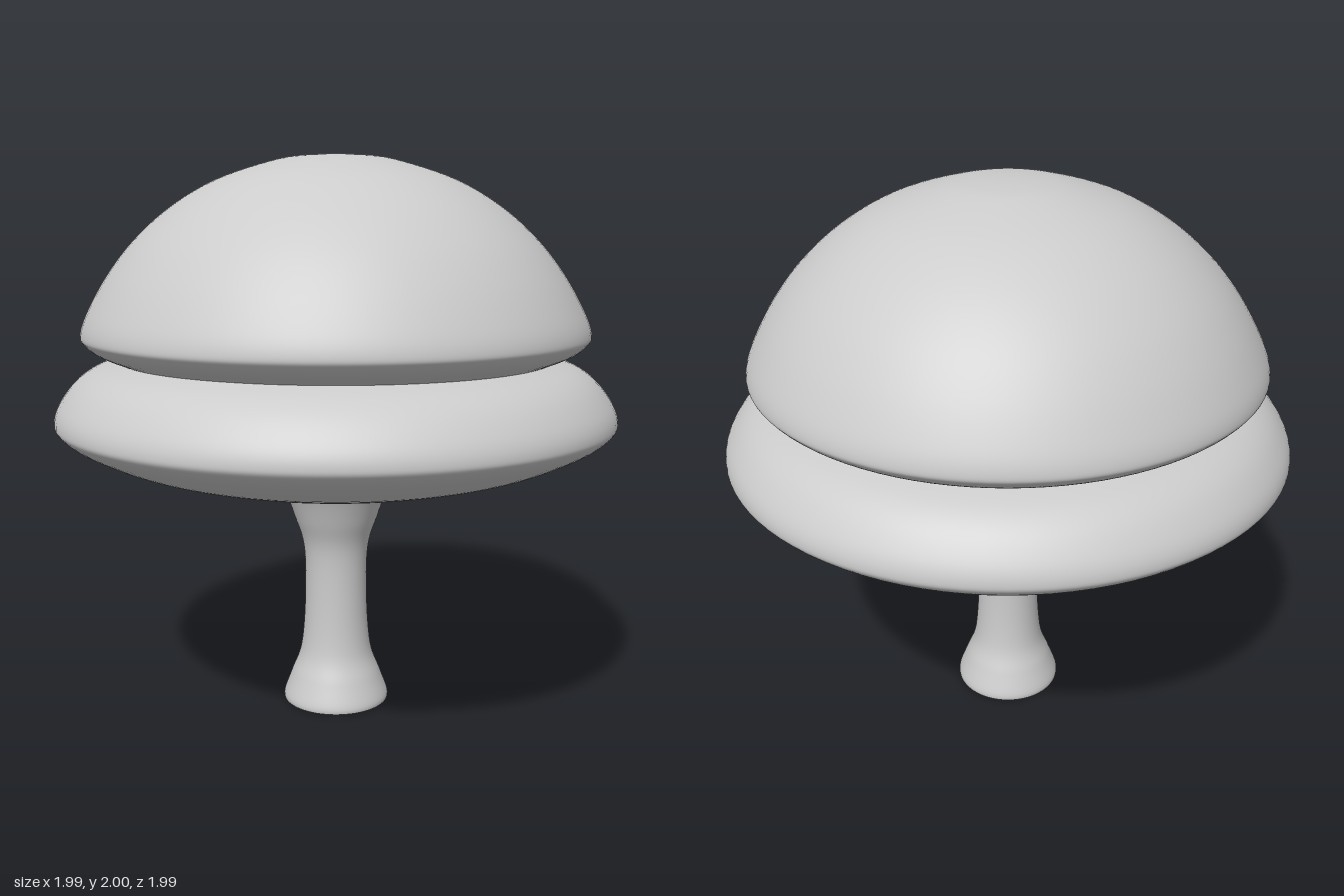
import * as THREE from 'three';

const material = new THREE.MeshStandardMaterial({ color: 0xcccccc, side: THREE.DoubleSide });

// Revolve a smooth curve through [radius, height] points, listed bottom to top
function turned(name, points, samples) {
  const curve = new THREE.SplineCurve(points.map(([r, y]) => new THREE.Vector2(r, y)));
  const profile = curve.getPoints(samples);
  profile.forEach((p) => { p.x = Math.max(p.x, 0); });
  const mesh = new THREE.Mesh(new THREE.LatheGeometry(profile, 96), material);
  mesh.name = name;
  return mesh;
}

export function createModel() {
  const tree = new THREE.Group();
  tree.name = 'tree';

  // Hollow trunk, flared at the foot and into the canopy
  tree.add(turned('trunk', [
    [0.195, 0], [0.193, 0.025], [0.165, 0.1], [0.13, 0.2], [0.115, 0.38],
    [0.118, 0.58], [0.152, 0.7], [0.193, 0.81], [0.225, 0.838], [0.3, 0.85],
  ], 60));

  // Wide, flattened lower canopy
  tree.add(turned('lowerCanopy', [
    [0.3, 0.85], [0.42, 0.863], [0.6, 0.893], [0.78, 0.943], [0.92, 1.007],
    [0.985, 1.055], [0.997, 1.09], [0.978, 1.145], [0.925, 1.215],
    [0.86, 1.262], [0.775, 1.292],
  ], 60));

  // Domed upper canopy, tucked in at its rim
  tree.add(turned('upperCanopy', [
    [0.775, 1.292], [0.845, 1.322], [0.887, 1.355], [0.898, 1.385],
    [0.875, 1.455], [0.805, 1.58], [0.71, 1.702], [0.58, 1.818],
    [0.42, 1.912], [0.22, 1.978], [0.1, 1.996], [0, 2],
  ], 66));

  return tree;
}
